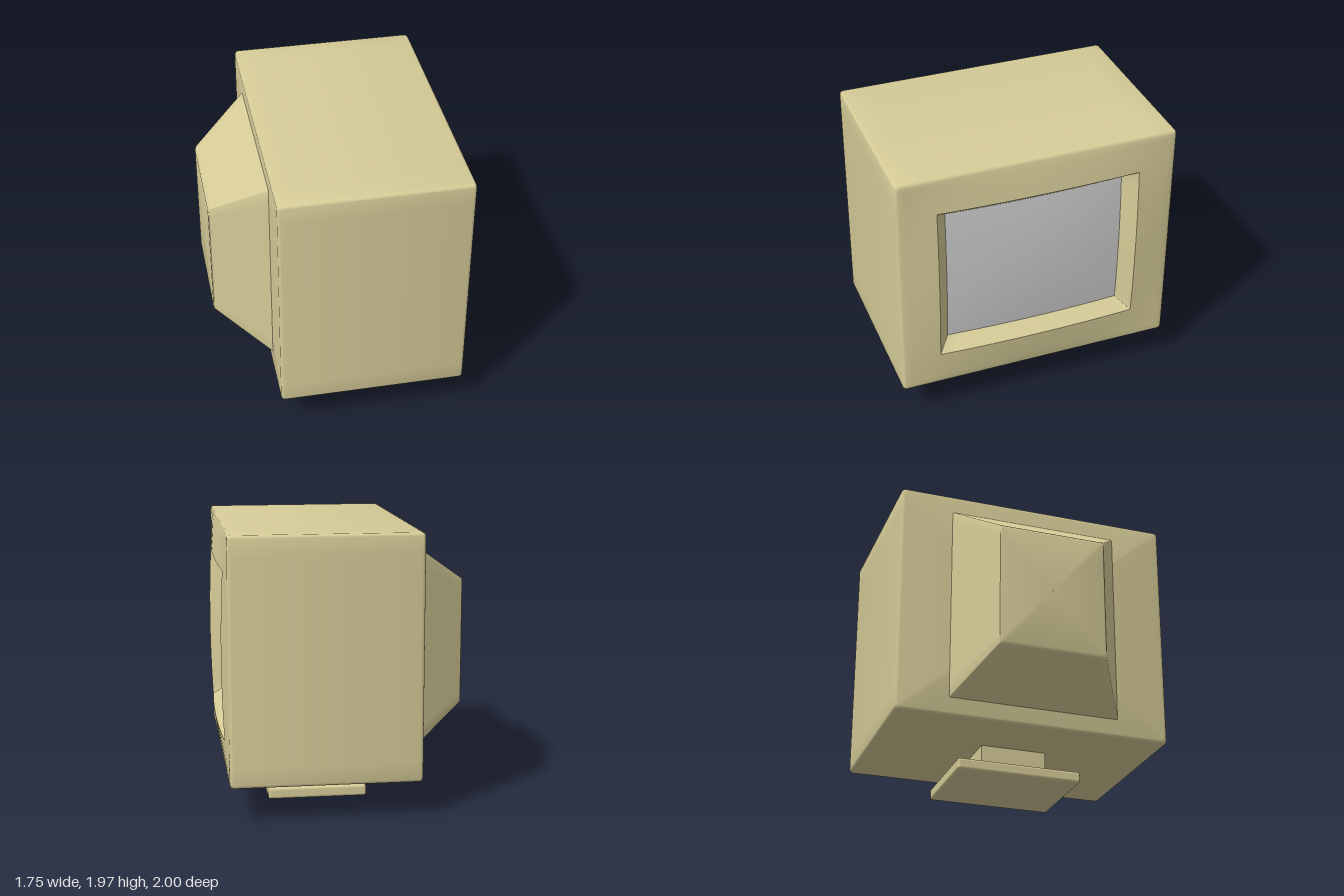
import * as THREE from 'three';
import { toCreasedNormals } from 'three/addons/utils/BufferGeometryUtils.js';
import { RoundedBoxGeometry } from 'three/addons/geometries/RoundedBoxGeometry.js';

const YC = 1.11, HY = 0.86;   // height of the case's middle, half its height

// Gentle bulge of the front face
const dome = (y, z) => 0.835 + 0.075 * (1 - z * z) * (1 - (y / HY) ** 2);

// Rounded rectangle in the y/z plane; x is a number or a function of (y, z)
function ring(hy, hz, r, x) {
  const pts = [], signs = [[1, 1], [-1, 1], [-1, -1], [1, -1]], side = 14;
  const add = (y, z) => pts.push(new THREE.Vector3(typeof x === 'function' ? x(y, z) : x, y + YC, z));
  signs.forEach(([sy, sz], k) => {
    const cy = sy * (hy - r), cz = sz * (hz - r);
    for (let i = 0; i <= 3; i++) {
      const a = (k + i / 3) * Math.PI / 2;
      add(cy + r * Math.cos(a), cz + r * Math.sin(a));
    }
    // points along the straight side to the next corner
    const [ny, nz] = signs[(k + 1) % 4], e = (k + 1) * Math.PI / 2;
    const oy = r * Math.cos(e), oz = r * Math.sin(e);
    for (let i = 1; i < side; i++) {
      const t = i / side;
      add(THREE.MathUtils.lerp(cy, ny * (hy - r), t) + oy, THREE.MathUtils.lerp(cz, nz * (hz - r), t) + oz);
    }
  });
  return pts;
}

// Skin a list of rings, ordered from the back to the front
function loft(rings) {
  const n = rings[0].length, pos = [], idx = [];
  rings.forEach(r => r.forEach(p => pos.push(p.x, p.y, p.z)));
  for (let i = 0; i < rings.length - 1; i++) {
    for (let j = 0; j < n; j++) {
      const a = i * n + j, b = i * n + (j + 1) % n;
      idx.push(a, b, b + n, a, b + n, a + n);
    }
  }
  const g = new THREE.BufferGeometry();
  g.setAttribute('position', new THREE.Float32BufferAttribute(pos, 3));
  g.setIndex(idx);
  return toCreasedNormals(g, 0.6);
}

export function createModel() {
  const group = new THREE.Group();
  const beige = new THREE.MeshStandardMaterial({ color: 0xd6cc98 });
  const grey = new THREE.MeshStandardMaterial({ color: 0xcccccc });
  const add = (name, geometry, material, x = 0, y = 0, z = 0) => {
    const m = new THREE.Mesh(geometry, material);
    m.name = name;
    m.position.set(x, y, z);
    group.add(m);
  };
  const lerp = THREE.MathUtils.lerp;

  // Case: back cap, rounded edges, domed front, sloping recess round the screen
  const r = 0.025, body = [ring(0.002, 0.002, 0.001, -0.49)];
  for (let i = 0; i <= 3; i++) {
    const a = i * Math.PI / 6, inset = r * (1 - Math.sin(a));
    body.push(ring(HY - inset, 1 - inset, r, -0.49 + r * (1 - Math.cos(a))));
  }
  for (let i = 0; i <= 3; i++) {
    const a = i * Math.PI / 6, inset = r * (1 - Math.cos(a));
    body.push(ring(HY - inset, 1 - inset, r, 0.813 + r * Math.sin(a)));
  }
  for (let i = 1; i <= 6; i++) {
    const t = i / 6;
    body.push(ring(lerp(HY - r, 0.593, t), lerp(1 - r, 0.725, t), lerp(r, 0.002, t), dome));
  }
  const glass = (y, z) => dome(y, z) - 0.108;
  body.push(ring(0.515, 0.64, 0.002, glass));
  add('case', loft(body), beige);

  // Screen: curved glass at the bottom of the recess
  const screen = [];
  for (let i = 0; i <= 10; i++) {
    const s = Math.max(1 - i / 10, 0.002);
    screen.push(ring(0.515 * s, 0.64 * s, 0.002 * s, glass));
  }
  add('screen', loft(screen), grey);

  // Tapered tube housing at the back
  add('rearHousing', loft([
    ring(0.002, 0.002, 0.001, -0.88),
    ring(0.435, 0.37, 0.01, -0.88),
    ring(0.452, 0.386, 0.01, -0.874),
    ring(0.463, 0.395, 0.01, -0.86),
    ring(0.74, 0.632, 0.01, -0.47),
  ]), beige);

  // Stand
  add('neck', new THREE.BoxGeometry(0.43, 0.22, 0.48), beige, 0.18, 0.165, 0);
  add('foot', new RoundedBoxGeometry(0.71, 0.083, 0.91, 3, 0.02), beige, 0.175, 0.0415, 0);
  return group;
}
